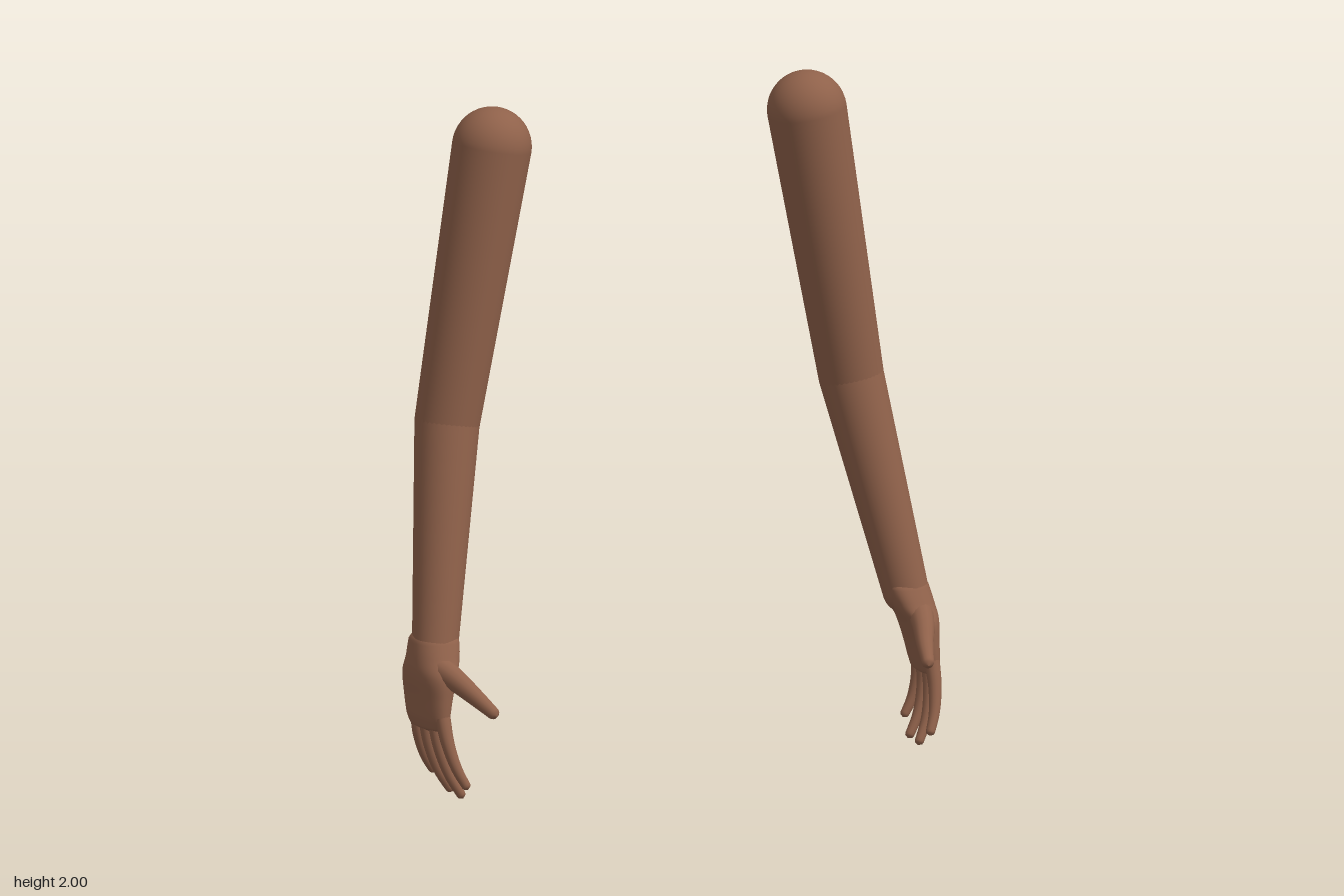
import * as THREE from 'three';
import { mergeVertices } from 'three/addons/utils/BufferGeometryUtils.js';

const skin = new THREE.MeshStandardMaterial({ color: 0x8f614a });
skin.name = 'brown skin';

function part(geometry, name) {
  const mesh = new THREE.Mesh(geometry, skin);
  mesh.name = name;
  return mesh;
}

// Tapered limb with round ends, from a (radius ra) to b (radius rb)
function limb(a, ra, b, rb, name) {
  const dir = b.clone().sub(a);
  const len = dir.length();
  const profile = [];
  for (let i = 0; i <= 12; i++) {
    const t = (i / 12) * Math.PI / 2;
    profile.push(new THREE.Vector2(ra * Math.sin(t), -ra * Math.cos(t)));
  }
  for (let i = 0; i <= 12; i++) {
    const t = (i / 12) * Math.PI / 2;
    profile.push(new THREE.Vector2(rb * Math.cos(t), len + rb * Math.sin(t)));
  }
  const mesh = part(new THREE.LatheGeometry(profile, 40), name);
  mesh.quaternion.setFromUnitVectors(new THREE.Vector3(0, 1, 0), dir.normalize());
  mesh.position.copy(a);
  return mesh;
}

// Curved digit that tapers from r0 to r1 and ends in a round tip
function digit(points, r0, r1, name) {
  const curve = new THREE.CatmullRomCurve3(points);
  const rings = 40, sides = 14;
  const geo = new THREE.TubeGeometry(curve, rings, 1, sides);
  const pos = geo.attributes.position;
  const tip = r1 / curve.getLength();
  const v = new THREE.Vector3();
  for (let i = 0; i <= rings; i++) {
    const t = i / rings;
    const c = curve.getPointAt(t);
    const k = Math.max(0, (t - 1 + tip) / tip);
    const r = THREE.MathUtils.lerp(r0, r1, t) * Math.sqrt(Math.max(0.0001, 1 - k * k));
    for (let j = 0; j <= sides; j++) {
      const n = i * (sides + 1) + j;
      v.fromBufferAttribute(pos, n).sub(c).multiplyScalar(r).add(c);
      pos.setXYZ(n, v.x, v.y, v.z);
    }
  }
  geo.deleteAttribute('uv');
  geo.deleteAttribute('normal');
  const smooth = mergeVertices(geo, 1e-5);
  smooth.computeVertexNormals();
  return part(smooth, name);
}

// Palm lofted through flattened rings: x, y, z, half thickness, half width
function palm(s) {
  const sections = [
    [0.775, 0.50, -0.02, 0.03, 0.03],
    [0.775, 0.46, -0.015, 0.066, 0.068],
    [0.785, 0.41, -0.002, 0.066, 0.082],
    [0.800, 0.36, 0.008, 0.056, 0.102],
    [0.808, 0.30, 0.015, 0.044, 0.100],
    [0.813, 0.24, 0.024, 0.036, 0.092],
    [0.813, 0.21, 0.028, 0.028, 0.080],
    [0.813, 0.195, 0.030, 0.003, 0.02],
  ];
  const centres = new THREE.CatmullRomCurve3(sections.map(p => new THREE.Vector3(p[0] * s, p[1], p[2])));
  const sizes = new THREE.CatmullRomCurve3(sections.map(p => new THREE.Vector3(p[3], p[4], 0)));
  const rings = 42, sides = 36, verts = [], index = [];
  const soft = n => Math.sign(n) * Math.abs(n) ** 0.85;
  for (let i = 0; i <= rings; i++) {
    const c = centres.getPoint(i / rings), r = sizes.getPoint(i / rings);
    for (let j = 0; j < sides; j++) {
      const a = (j / sides) * Math.PI * 2;
      const dz = r.y * soft(Math.sin(a));
      verts.push(c.x + r.x * soft(Math.cos(a)) - s * 0.12 * dz, c.y, c.z + dz);
      if (i < rings) {
        const p = i * sides + j, q = i * sides + (j + 1) % sides;
        index.push(p, q, p + sides, q, q + sides, p + sides);
      }
    }
  }
  // Close both ends
  const last = rings * sides;
  for (let j = 1; j < sides - 1; j++) {
    index.push(0, j + 1, j, last, last + j, last + j + 1);
  }
  const geo = new THREE.BufferGeometry();
  geo.setAttribute('position', new THREE.Float32BufferAttribute(verts, 3));
  geo.setIndex(index);
  geo.computeVertexNormals();
  return part(geo, 'palm');
}

function arm(s, name) {
  const P = (x, y, z) => new THREE.Vector3(x * s, y, z);
  const group = new THREE.Group();
  group.name = name;
  const elbow = P(0.663, 1.07, -0.149);
  group.add(limb(P(0.517, 1.883, -0.147), 0.117, elbow, 0.096, 'upperArm'));
  group.add(limb(elbow, 0.096, P(0.772, 0.44, -0.012), 0.068, 'forearm'));

  const hand = new THREE.Group();
  hand.name = 'hand';
  hand.add(palm(s));
  hand.add(digit([P(0.79, 0.385, 0.045), P(0.768, 0.36, 0.11), P(0.738, 0.32, 0.18), P(0.708, 0.275, 0.262)],
    0.04, 0.017, 'thumb'));

  // Fingers: name, base x and z, tip x, y and z
  const fingers = [
    ['indexFinger', 0.803, 0.098, 0.757, 0.042, 0.172],
    ['middleFinger', 0.81, 0.058, 0.746, 0.004, 0.119],
    ['ringFinger', 0.816, 0.013, 0.748, 0.01, 0.051],
    ['littleFinger', 0.822, -0.027, 0.768, 0.056, -0.021],
  ];
  for (const [label, bx, bz, tx, ty, tz] of fingers) {
    const by = 0.245;
    const at = (t, bend) => P(bx + (tx - bx) * bend, by + (ty - by) * t, bz + (tz - bz) * t);
    hand.add(digit([at(0, 0), at(0.35, 0.08), at(0.7, 0.42), at(1, 1)], 0.023, 0.013, label));
  }
  group.add(hand);
  return group;
}

export function createModel() {
  const model = new THREE.Group();
  model.name = 'pairOfArms';
  model.add(arm(1, 'leftArm'), arm(-1, 'rightArm'));
  return model;
}
